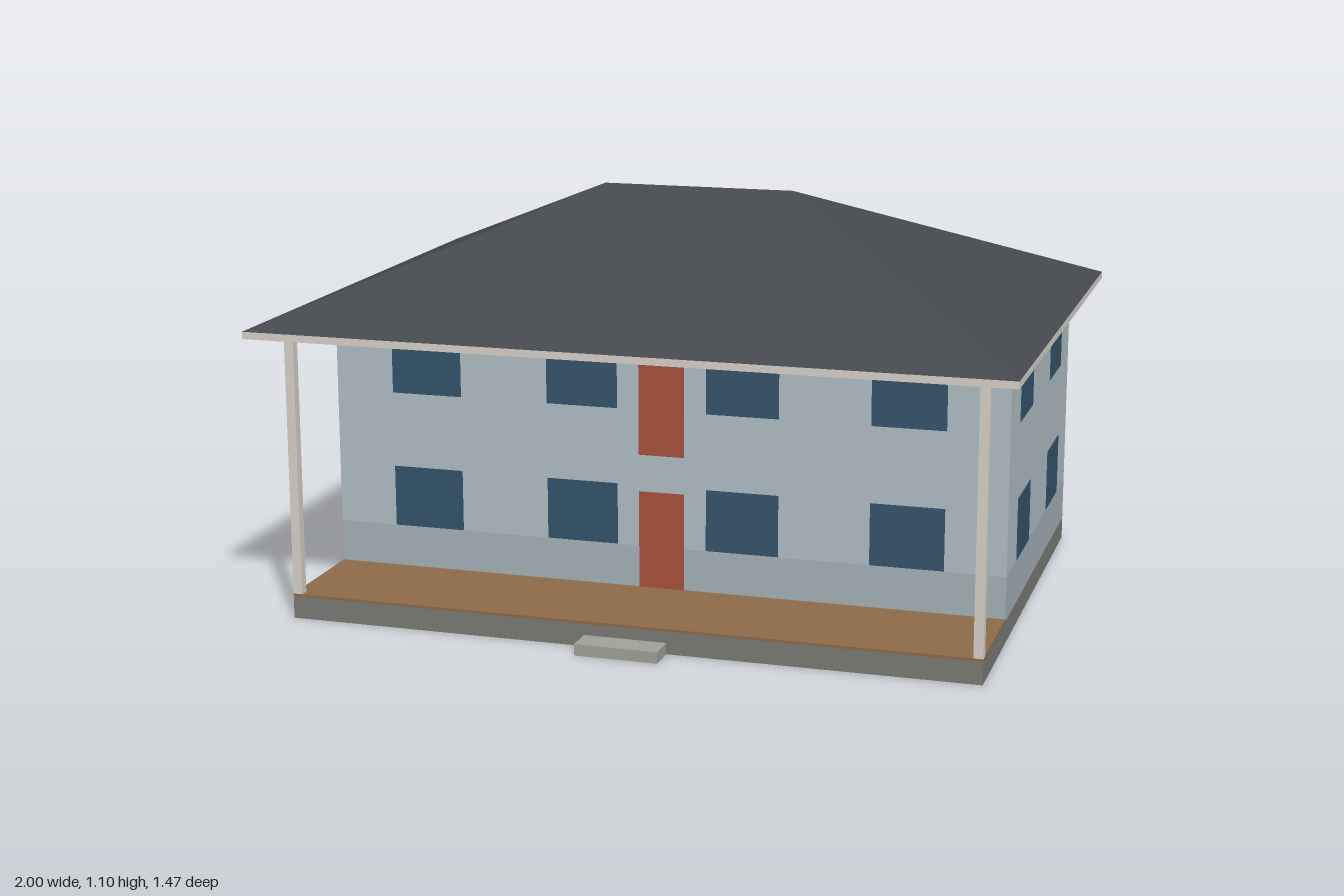
import * as THREE from 'three';

const mat = (color) => new THREE.MeshStandardMaterial({ color, flatShading: true });
const MATS = {
  wall: mat(0xb0bec5), base: mat(0xa4b1b8), glass: mat(0x34536b), door: mat(0xa8503c),
  stone: mat(0x7a7a75), deck: mat(0x8d6b48), trim: mat(0xd6d0c8), roof: mat(0x45484d), step: mat(0xa0a198),
};

// Box given by its minimum and maximum corners
function box(name, material, [x0, y0, z0], [x1, y1, z1]) {
  const mesh = new THREE.Mesh(new THREE.BoxGeometry(x1 - x0, y1 - y0, z1 - z0), material);
  mesh.position.set((x0 + x1) / 2, (y0 + y1) / 2, (z0 + z1) / 2);
  mesh.name = name;
  return mesh;
}

// Hipped roof: two trapezoids and two triangles meeting at a ridge
function hipRoof(halfX, halfZ, halfRidge, yEave, yRidge) {
  const a = [-halfX, yEave, halfZ], b = [halfX, yEave, halfZ];
  const c = [halfX, yEave, -halfZ], d = [-halfX, yEave, -halfZ];
  const l = [-halfRidge, yRidge, 0], r = [halfRidge, yRidge, 0];
  const corners = [a, b, r, a, r, l, b, c, r, c, d, l, c, l, r, d, a, l];
  const geometry = new THREE.BufferGeometry();
  geometry.setAttribute('position', new THREE.Float32BufferAttribute(corners.flat(), 3));
  geometry.computeVertexNormals();
  const mesh = new THREE.Mesh(geometry, MATS.roof);
  mesh.name = 'roof';
  return mesh;
}

export function createModel() {
  const house = new THREE.Group();
  house.name = 'house';
  const X = 0.92, BACK = -0.658, WALL = 0.341, FRONT = 0.66;
  const FLOOR = 0.06, DECK = 0.067, EAVE = 0.765, ROOF = 0.784;

  // Foundation, porch deck and entry step
  house.add(
    box('foundation', MATS.stone, [-X, 0, BACK], [X, FLOOR, FRONT]),
    box('porchDeck', MATS.deck, [-X, FLOOR, WALL], [X, DECK, FRONT]),
    box('entryStep', MATS.step, [-0.11, 0, FRONT], [0.11, 0.03, 0.735]),
  );

  // Walls with a darker band at the bottom
  house.add(
    box('lowerWalls', MATS.base, [-X, FLOOR, BACK], [X, 0.18, WALL]),
    box('upperWalls', MATS.wall, [-X, 0.18, BACK], [X, EAVE, WALL]),
  );

  // Windows on both floors, all four sides
  const windows = new THREE.Group();
  windows.name = 'windows';
  const T = 0.002, W = 0.098, H = 0.083;
  for (const y of [0.264, 0.635]) {
    for (const x of [-0.66, -0.22, 0.22, 0.66]) {
      for (const z of [BACK, WALL]) {
        windows.add(box('window', MATS.glass, [x - W, y - H, z - T], [x + W, y + H, z + T]));
      }
    }
    for (const z of [0.092, -0.408]) {
      for (const x of [-X, X]) {
        windows.add(box('window', MATS.glass, [x - T, y - H, z - W], [x + T, y + H, z + W]));
      }
    }
  }
  house.add(windows);

  // Front doors, one per floor
  house.add(
    box('lowerDoor', MATS.door, [-0.062, DECK, WALL - T], [0.062, 0.33, WALL + T]),
    box('upperDoor', MATS.door, [-0.062, 0.43, WALL - T], [0.062, 0.697, WALL + T]),
  );

  // Porch corner posts
  for (const s of [-1, 1]) {
    const post = box('porchPost', MATS.trim, [-0.0125, DECK, FRONT - 0.025], [0.0125, EAVE, FRONT]);
    post.position.x = s * (X - 0.0125);
    house.add(post);
  }

  // Eaves slab and roof
  house.add(
    box('eaves', MATS.trim, [-1, EAVE, -0.735], [1, ROOF, 0.735]),
    hipRoof(1, 0.735, 0.263, ROOF, 1.095),
  );
  return house;
}
